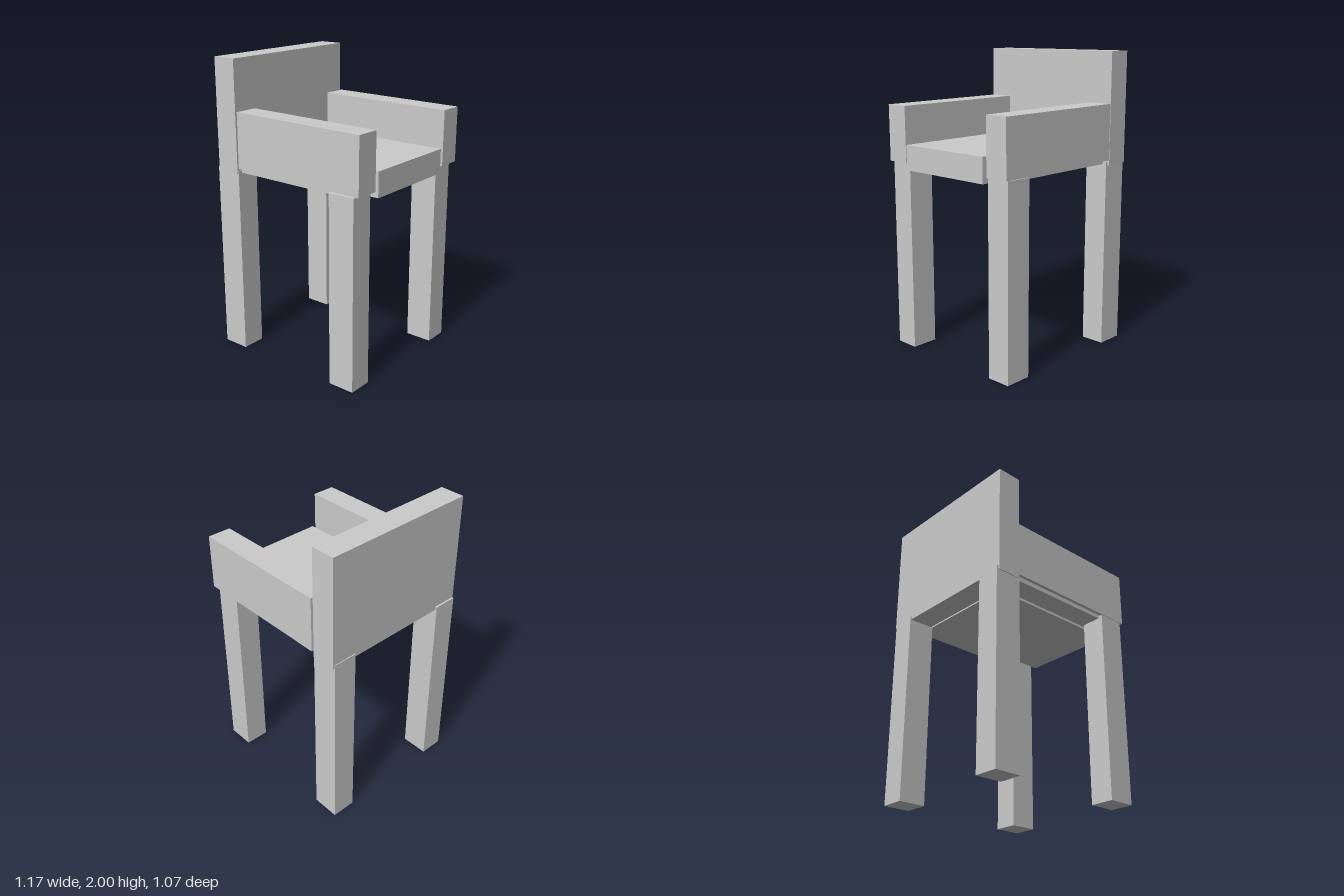
import * as THREE from 'three';

export function createModel() {
  const model = new THREE.Group();
  const material = new THREE.MeshStandardMaterial({ color: 0xcccccc, flatShading: true });

  // Box given by its [min, max] range on each axis, with an optional slight skew
  function block(name, [x0, x1], [y0, y1], [z0, z1], yaw = 0, tilt = 0) {
    const mesh = new THREE.Mesh(new THREE.BoxGeometry(x1 - x0, y1 - y0, z1 - z0), material);
    mesh.name = name;
    mesh.position.set((x0 + x1) / 2, (y0 + y1) / 2, (z0 + z1) / 2);
    mesh.rotation.set(0, yaw, tilt);
    model.add(mesh);
  }

  // Four square legs
  const legX = { rear: [-0.588, -0.403], front: [0.355, 0.54] };
  const legZ = { Left: [0.365, 0.528], Right: [-0.52, -0.356] };
  for (const [end, x] of Object.entries(legX))
    for (const [side, z] of Object.entries(legZ))
      block(`${end}Leg${side}`, x, [0, 1.277], z);

  // Backrest, seat cushion and the thin frame beneath the arms
  block('backrest', [-0.579, -0.412], [1.253, 2], [-0.534, 0.534], 0.008);
  block('seat', [-0.413, 0.58], [1.243, 1.408], [-0.345, 0.348], 0.008);
  block('seatFrame', [-0.5, 0.51], [1.26, 1.34], [-0.49, 0.5]);

  // Armrests, dipping slightly toward the front
  block('armrestLeft', [-0.405, 0.575], [1.287, 1.66], [0.361, 0.523], 0, -0.005);
  block('armrestRight', [-0.405, 0.575], [1.287, 1.66], [-0.54, -0.378], 0, -0.005);

  return model;
}
